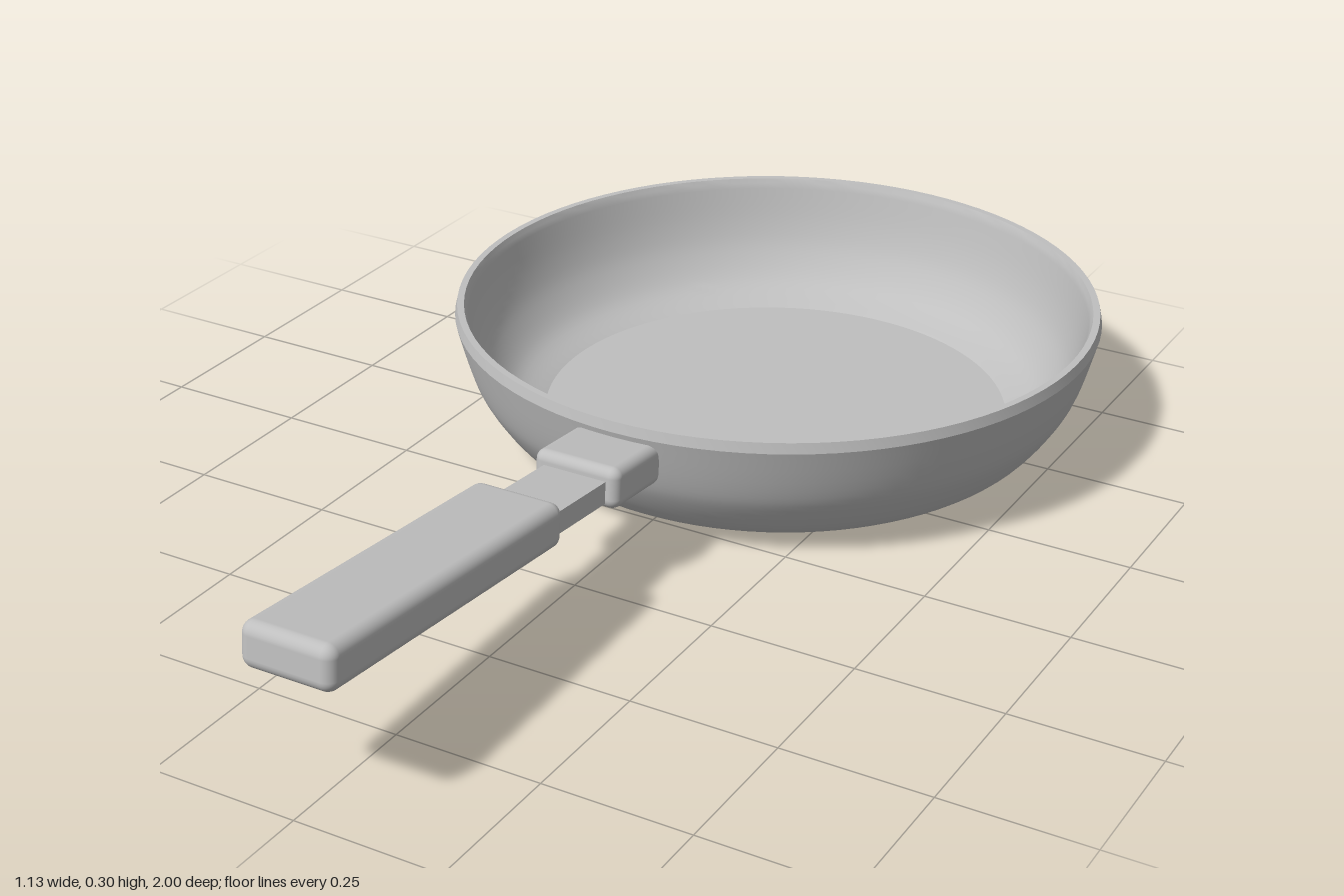
import * as THREE from 'three';
import { toCreasedNormals } from 'three/addons/utils/BufferGeometryUtils.js';
import { RoundedBoxGeometry } from 'three/addons/geometries/RoundedBoxGeometry.js';

const PAN_Z = -0.435;
const TILT = Math.atan(0.09); // handle rises towards its end

const gray = new THREE.MeshStandardMaterial({ color: 0xbfbfbf });
gray.name = 'plain gray';

const v = (x, y) => new THREE.Vector2(x, y);
const smooth = (points) => new THREE.SplineCurve(points).getPoints(20);

// Hollow bowl: outside wall going up, rim, then inside wall going down
function makePan() {
  const outside = smooth([v(0.405, 0), v(0.445, 0.014), v(0.484, 0.042), v(0.523, 0.096), v(0.543, 0.142), v(0.565, 0.222)]);
  const inside = smooth([v(0.545, 0.232), v(0.527, 0.16), v(0.504, 0.106), v(0.465, 0.058), v(0.41, 0.03)]);
  const profile = [v(0, 0), ...outside, v(0.561, 0.24), v(0.549, 0.24), ...inside, v(0, 0.03)];
  const pan = new THREE.Mesh(toCreasedNormals(new THREE.LatheGeometry(profile, 96), 0.3), gray);
  pan.name = 'pan';
  pan.position.z = PAN_Z;
  return pan;
}

// One tilted handle piece spanning z0..z1, centred on a sloping axis
function makePiece(name, width, thickness, z0, z1, drop, radius) {
  const z = (z0 + z1) / 2;
  const length = (z1 - z0) / Math.cos(TILT) - thickness * Math.sin(TILT);
  const geometry = radius
    ? new RoundedBoxGeometry(width, thickness, length, 4, radius)
    : new THREE.BoxGeometry(width, thickness, length);
  const piece = new THREE.Mesh(geometry, gray);
  piece.name = name;
  piece.position.set(0, 0.172 + 0.09 * z - drop, z);
  piece.rotation.x = -TILT;
  return piece;
}

export function createModel() {
  const model = new THREE.Group();
  model.name = 'fryingPan';
  const handle = new THREE.Group();
  handle.name = 'handle';
  handle.add(
    makePiece('grip', 0.16, 0.074, 0.4, 1, 0, 0.02),
    // the bar passes through the wall and shows inside the bowl
    makePiece('neckBar', 0.114, 0.038, 0.068, 0.44, 0.012, 0),
    makePiece('bracket', 0.156, 0.07, 0.1, 0.25, 0.006, 0.017)
  );
  model.add(makePan(), handle);
  return model;
}
